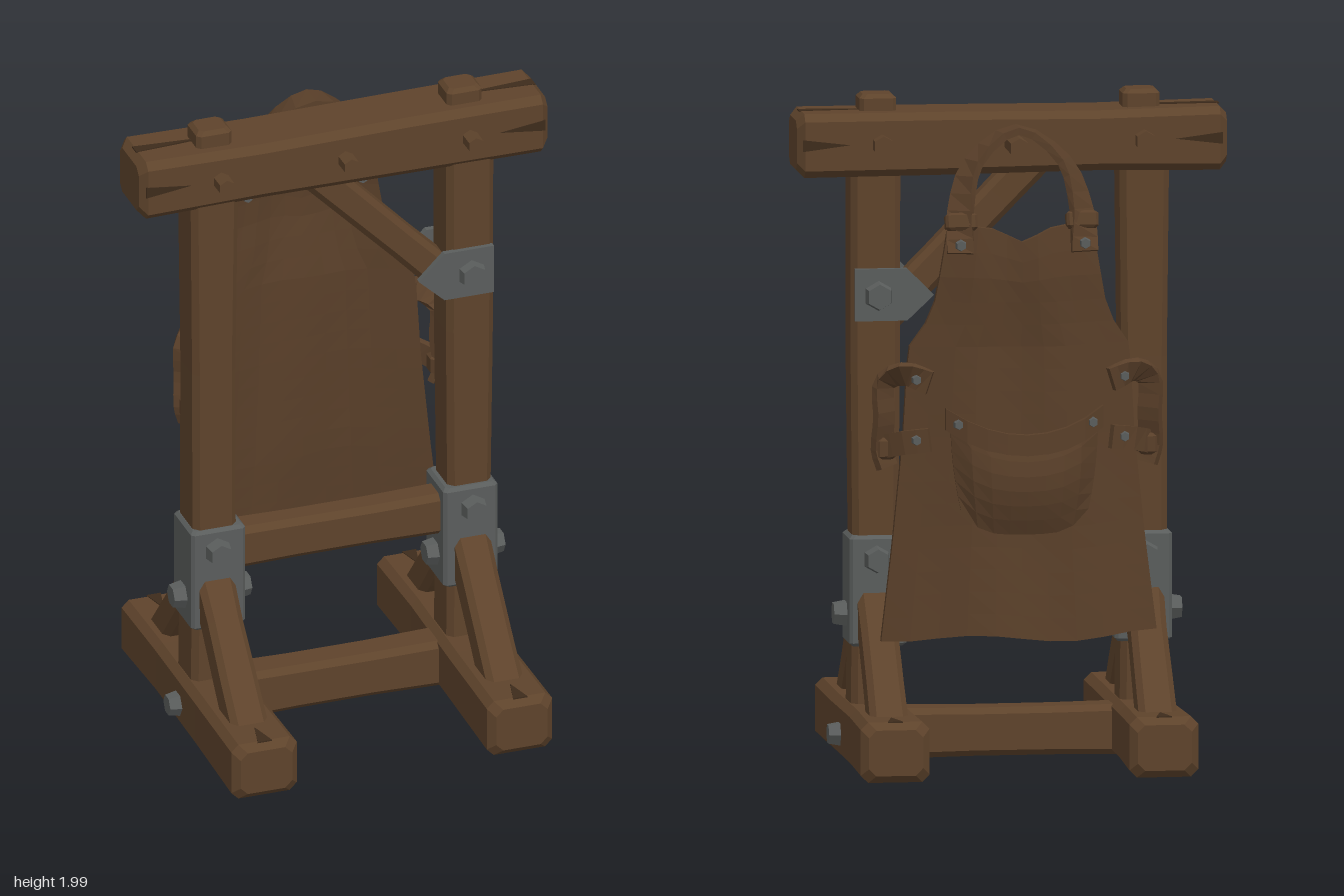
import * as THREE from 'three';

const V = (x, y, z) => new THREE.Vector3(x, y, z);
const mat = (name, color) => {
  const m = new THREE.MeshStandardMaterial({ color, flatShading: true });
  m.name = name;
  return m;
};

let seed = 7;
const rand = () => (seed = (seed * 16807) % 2147483647) / 2147483647;

function buffer(points, index) {
  const g = new THREE.BufferGeometry().setFromPoints(points);
  g.setIndex(index);
  const flat = g.toNonIndexed();
  flat.computeVertexNormals();
  return flat;
}

// Skin over closed rings of equal size, with end caps
function loft(rings) {
  const n = rings[0].length, idx = [], last = (rings.length - 1) * n;
  for (let i = 0; i < rings.length - 1; i++) for (let k = 0; k < n; k++) {
    const a = i * n + k, b = i * n + (k + 1) % n;
    idx.push(a, b, a + n, b, b + n, a + n);
  }
  for (let k = 1; k < n - 1; k++) idx.push(0, k + 1, k, last, last + k, last + k + 1);
  return buffer(rings.flat(), idx);
}

// Thick cloth panel from a surface rule f(u, v), u in -1..1, v from top to bottom
function panel(cols, rows, t, f) {
  const pts = [], idx = [], w = cols + 1, n = w * (rows + 1);
  for (const dz of [0, -t]) for (let i = 0; i <= rows; i++) for (let j = 0; j <= cols; j++) {
    const p = f((j / cols) * 2 - 1, i / rows);
    p.z += dz;
    pts.push(p);
  }
  for (let i = 0; i < rows; i++) for (let j = 0; j < cols; j++) {
    const a = i * w + j, b = a + 1, c = a + w, d = c + 1;
    idx.push(a, c, b, b, c, d, n + a, n + b, n + c, n + b, n + d, n + c);
  }
  const rim = [];
  for (let i = 0; i < rows; i++) rim.push(i * w);
  for (let j = 0; j < cols; j++) rim.push(rows * w + j);
  for (let i = rows; i > 0; i--) rim.push(i * w + cols);
  for (let j = cols; j > 0; j--) rim.push(j);
  rim.forEach((p, k) => {
    const q = rim[(k + 1) % rim.length];
    idx.push(p, n + p, q, q, n + p, n + q);
  });
  return buffer(pts, idx);
}

// Flat strap along points, dirs give the width direction at each point
function band(points, dirs, w, t, steps = 12) {
  const path = new THREE.CatmullRomCurve3(points), rings = [];
  for (let i = 0; i <= steps; i++) {
    const s = i / steps, p = path.getPoint(s), T = path.getTangent(s);
    const f = s * (dirs.length - 1), k = Math.min(Math.floor(f), dirs.length - 2);
    const W = dirs[k].clone().lerp(dirs[k + 1], f - k);
    W.addScaledVector(T, -W.dot(T)).normalize();
    const N = T.clone().cross(W);
    rings.push([[1, 1], [-1, 1], [-1, -1], [1, -1]].map(([a, b]) =>
      p.clone().addScaledVector(W, a * w / 2).addScaledVector(N, b * t / 2)));
  }
  return loft(rings);
}

// Rows of the apron: y, half width, z at the middle, z at the edge
const ROWS = [
  [1.61, 0.215, -0.315, -0.265], [1.5, 0.235, -0.32, -0.27], [1.37, 0.262, -0.305, -0.255],
  [1.27, 0.33, -0.295, -0.235], [1.0, 0.345, -0.295, -0.23], [0.7, 0.375, -0.3, -0.23], [0.41, 0.41, -0.32, -0.235],
];
function apronRow(y) {
  let i = 0;
  while (i < ROWS.length - 2 && y < ROWS[i + 1][0]) i++;
  const a = ROWS[i], b = ROWS[i + 1];
  const s = THREE.MathUtils.clamp((a[0] - y) / (a[0] - b[0]), 0, 1);
  return a.map((v, k) => v + (b[k] - v) * s);
}
function apronZ(x, y) {
  const [, hw, zc, ze] = apronRow(y);
  return zc + (ze - zc) * Math.min(1, (x / hw) ** 2);
}

export function createModel() {
  const model = new THREE.Group();
  model.name = 'apronStand';
  const wood = mat('wood', 0x5e432b), crackWood = mat('crackedWood', 0x3d2b1b);
  const leather = mat('leather', 0x593f29), metal = mat('iron', 0x5a5d5c);

  const add = (name, geo, m, pos) => {
    const mesh = new THREE.Mesh(geo, m);
    mesh.name = name;
    if (pos) mesh.position.copy(pos);
    model.add(mesh);
    return mesh;
  };

  // Chamfered, slightly uneven timber from a to b
  const plank = (name, a, b, w, h, { c = 0.018, wob = 0.07, m = wood } = {}) => {
    const L = a.distanceTo(b) / 2, rings = [];
    [-L, -L + c, -L * 0.4, L * 0.3, L - c, L].forEach((z, i) => {
      const end = i === 0 || i === 5, mid = i === 2 || i === 3;
      const x = (w / 2) * (mid ? 1 - rand() * wob : 1) - (end ? c : 0);
      const y = (h / 2) * (mid ? 1 - rand() * wob : 1) - (end ? c : 0);
      rings.push([[x, c - y], [x, y - c], [x - c, y], [c - x, y], [-x, y - c], [-x, c - y], [c - x, -y], [x - c, -y]]
        .map(([px, py]) => V(px, py, z)));
    });
    add(name, loft(rings), m, a.clone().add(b).multiplyScalar(0.5)).lookAt(b);
  };

  // Hexagonal bolt head pointing along dir
  const bolt = (name, pos, dir, r = 0.042, h = 0.04, m = metal) => {
    const mesh = add(name, new THREE.CylinderGeometry(r * 0.82, r, h, 6), m, pos);
    mesh.quaternion.setFromUnitVectors(V(0, 1, 0), dir);
  };

  // Thin wedge-shaped split; tip points along dir, face along normal
  const split = (pos, dir, normal, len, wid) => {
    const s = new THREE.Shape([new THREE.Vector2(-wid / 2, 0), new THREE.Vector2(wid / 2, 0), new THREE.Vector2(0, len)]);
    const mesh = add('woodSplit', new THREE.ExtrudeGeometry(s, { depth: 0.004, bevelEnabled: false }), crackWood, pos);
    mesh.quaternion.setFromRotationMatrix(new THREE.Matrix4().makeBasis(dir.clone().cross(normal), dir, normal));
  };

  const X = V(1, 0, 0), Y = V(0, 1, 0), Z = V(0, 0, 1);
  const neg = (v) => v.clone().negate();

  // Beam and rails
  plank('topBeam', V(-0.64, 1.857, -0.028), V(0.64, 1.857, -0.028), 0.21, 0.19, { c: 0.022 });
  plank('upperRail', V(-0.34, 0.59, -0.01), V(0.34, 0.59, -0.01), 0.1, 0.135);
  plank('lowerRail', V(-0.34, 0.095, -0.01), V(0.34, 0.095, -0.01), 0.12, 0.15);
  plank('diagonalBrace', V(-0.12, 1.84, -0.015), V(0.38, 1.325, -0.015), 0.09, 0.105);

  for (const s of [-1, 1]) {
    const x = s * 0.4, out = s > 0 ? X : neg(X), inn = neg(out);
    // Post with tenon, foot and braces
    plank('post', V(x, 0.1, -0.011), V(x, 1.8, -0.011), 0.148, 0.146, { wob: 0.12 });
    plank('tenon', V(s * 0.392, 1.9, -0.02), V(s * 0.392, 2, -0.02), 0.11, 0.1, { c: 0.012, wob: 0 });
    plank('foot', V(x, 0.1, -0.5), V(x, 0.1, 0.5), 0.205, 0.18, { c: 0.022 });
    for (const d of [-1, 1]) {
      plank('footBrace', V(x, 0.51, d * 0.02 - 0.01), V(x, 0.12, d * 0.355), 0.115, 0.11);
      split(V(x, 0.188, d * 0.485), d > 0 ? neg(Z) : Z, Y, 0.09, 0.045);
      split(V(s * 0.625, 1.86, d > 0 ? 0.075 : -0.131), inn, d > 0 ? Z : neg(Z), 0.14, 0.035);
      // Bracket bolts front and back, plus their pegs' direction
      bolt('bracketBolt', V(x, 0.62, d > 0 ? 0.09 : -0.11), d > 0 ? Z : neg(Z));
    }
    split(V(s * 0.625, 1.95, -0.028), inn, Y, 0.22, 0.035);
    // Iron bracket
    plank('ironBracket', V(s * 0.395, 0.36, -0.01), V(s * 0.395, 0.69, -0.01), 0.17, 0.165, { c: 0.01, wob: 0, m: metal });
    bolt('bracketSideBolt', V(s * 0.498, 0.45, -0.005), out);
    bolt('bracketSideBolt', V(s * 0.295, 0.45, -0.005), inn);
    bolt('footBolt', V(s * 0.515, 0.09, 0), out, 0.038, 0.035);
  }

  // Wooden pegs through the beam
  for (const [x, back] of [[-0.39, -0.18], [0, -0.28], [0.39, -0.18]]) {
    const L = 0.13 - back;
    bolt('peg', V(x, 1.86, back + L / 2), Z, 0.031, L, wood);
  }

  // Pointed iron plates clamping the diagonal brace
  const plate = new THREE.Shape([[0.23, 1.405], [0.31, 1.33], [0.465, 1.33], [0.465, 1.485], [0.31, 1.485]]
    .map(([x, y]) => new THREE.Vector2(x, y)));
  for (const [z, bz, d] of [[0.058, 0.085, Z], [-0.1, -0.112, neg(Z)]]) {
    add('bracePlate', new THREE.ExtrudeGeometry(plate, { depth: 0.018, bevelEnabled: false }), metal, V(0, 0, z));
    bolt('braceBolt', V(0.395, 1.405, bz), d, 0.046, 0.035);
  }

  // Apron body with soft folds
  add('apron', panel(10, 18, 0.022, (u, v) => {
    const y0 = 1.61 - 1.2 * v, [, hw] = apronRow(y0), x = u * hw;
    const neck = Math.max(0, 1 - v * 6) * (0.025 - 0.045 * Math.max(0, 1 - Math.abs(u) * 2.2));
    const fold = 0.009 * Math.sin(u * 7 + v * 3) * (1 - u * u);
    return V(x, y0 + neck + 0.012 * Math.sin(u * 5) * v * v, apronZ(x, y0) + fold);
  }), leather);

  // Bulging pocket with a sagging top edge
  const sag = (u) => 1.06 - 0.075 * (1 - u * u);
  add('pocket', panel(8, 6, 0.012, (u, v) => {
    const bottom = 0.72 + 0.07 * u ** 4, y = sag(u) + (bottom - sag(u)) * v;
    const x = u * (0.22 - 0.03 * v * v) - 0.01;
    const bulge = 0.055 * (1 - u ** 4) * Math.sin(Math.PI * (0.25 + 0.72 * v));
    return V(x, y, apronZ(x, y) - 0.02 - bulge);
  }), leather);
  add('pocketBand', panel(8, 2, 0.022, (u, v) => {
    const x = u * 0.235 - 0.01, y = sag(u) + 0.035 - 0.065 * v;
    return V(x, y, apronZ(x, y) - 0.018 - 0.038 * (1 - u ** 4));
  }), leather);

  // Neck strap looped over the middle peg
  const arm = (s) => [V(s * 0.185, 1.56, -0.335), V(s * 0.18, 1.68, -0.3), V(s * 0.135, 1.82, -0.255)];
  add('neckStrap', band([...arm(-1), V(0, 1.91, -0.225), ...arm(1).reverse()],
    [X, V(0.8, 0, -0.6), V(0.4, 0, -0.9), V(0, 0, -1), V(-0.4, 0, -0.9), V(-0.8, 0, -0.6), neg(X)], 0.078, 0.022, 18), leather);

  for (const s of [-1, 1]) {
    // Strap keeper and rivets on the chest
    plank('strapKeeper', V(s * 0.18, 1.625, -0.316), V(s * 0.18, 1.675, -0.302), 0.095, 0.045, { c: 0.008, wob: 0, m: leather });
    bolt('chestRivet', V(s * 0.185, 1.585, -0.348), neg(Z), 0.018, 0.016);
    bolt('chestRivet', V(s * 0.18, 1.585, apronZ(0.18, 1.585) + 0.005), Z, 0.018, 0.016);
    bolt('pocketRivet', V(s * 0.2 - 0.01, 1.05, apronZ(0.2, 1.05) - 0.062), neg(Z), 0.016, 0.02);

    // Waist strap drooping forward, with a lower tab and buckle
    const across = V(0.8 * s, 0, -0.6);
    add('waistStrap', band([V(s * 0.27, 1.17, -0.29), V(s * 0.34, 1.195, -0.265), V(s * 0.395, 1.16, -0.215),
      V(s * 0.395, 1.06, -0.215), V(s * 0.4, 0.96, -0.2), V(s * 0.385, 0.91, -0.205)],
    [V(0, 1, 0), V(0.4 * s, 0.7, -0.3), across, across, across], 0.07, 0.022, 14), leather);
    add('waistTab', band([V(s * 0.27, 1.0, -0.29), V(s * 0.34, 0.99, -0.262), V(s * 0.4, 0.97, -0.2)], [Y, Y], 0.07, 0.022, 4), leather);
    plank('buckle', V(s * 0.39, 0.935, -0.205), V(s * 0.39, 1.0, -0.205), 0.06, 0.055, { c: 0.01, wob: 0, m: leather });
    for (const y of [1.18, 1.0]) bolt('waistRivet', V(s * 0.31, y, -0.295), neg(Z), 0.016, 0.02);
  }

  return model;
}
